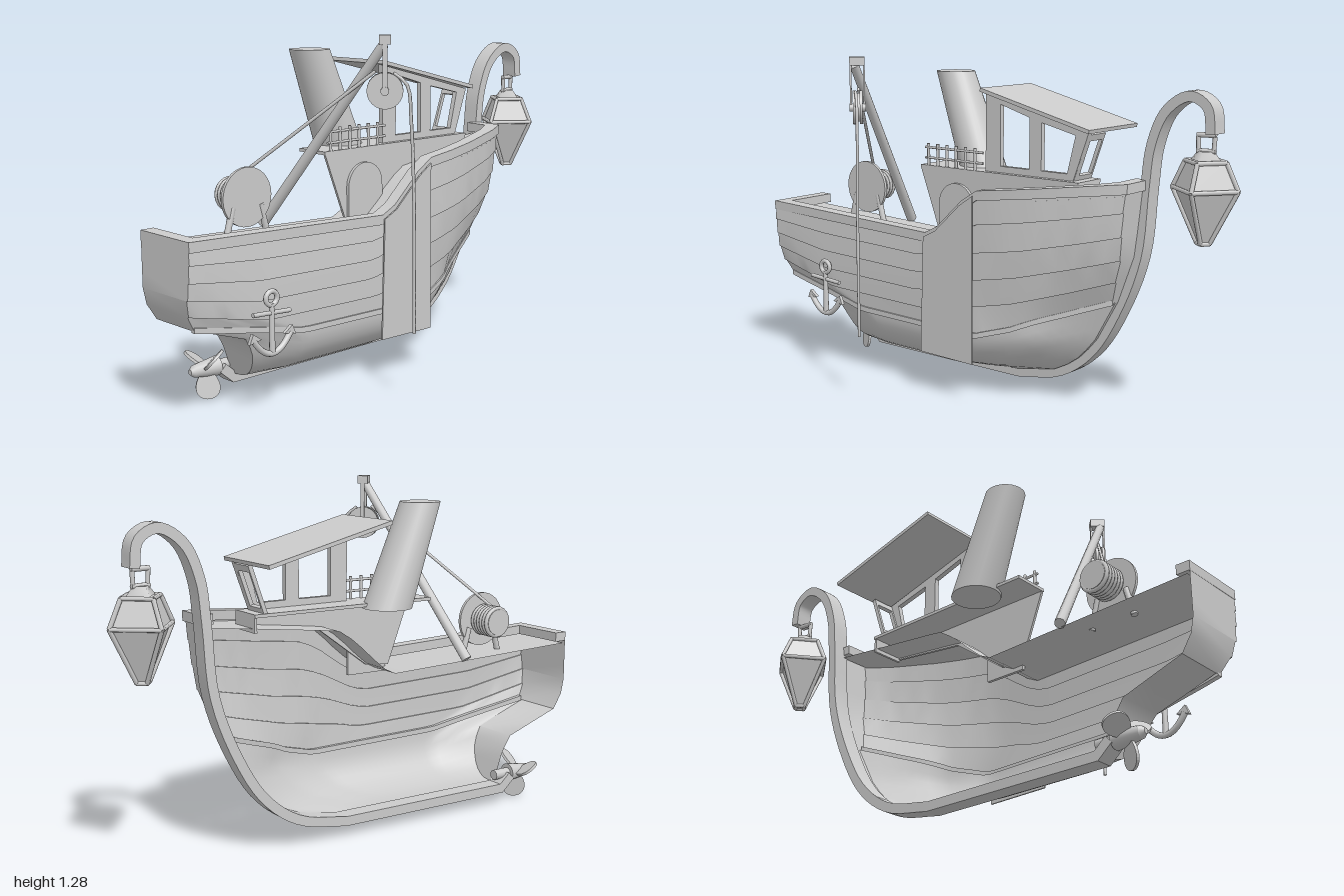
import * as THREE from 'three';
import { toCreasedNormals } from 'three/addons/utils/BufferGeometryUtils.js';

const MAT = new THREE.MeshStandardMaterial({ color: 0xcccccc, side: THREE.DoubleSide });
const V = (x, y, z) => new THREE.Vector3(x, y, z);
const MID = -0.195; // centre plane of the boat, where the half hull is cut open
const CUT = -0.18;
const lerp = THREE.MathUtils.lerp;

// Linear lookup in a short table of [key, value]
function at(table, k) {
  if (k <= table[0][0]) return table[0][1];
  for (let i = 1; i < table.length; i++) {
    const [k0, v0] = table[i - 1], [k1, v1] = table[i];
    if (k <= k1) return lerp(v0, v1, (k - k0) / (k1 - k0));
  }
  return table[table.length - 1][1];
}

// Hull lines
const sheer = [[-1, 0.655], [-0.15, 0.625], [-0.09, 0.655], [0.03, 0.765], [0.1, 0.81], [0.66, 0.875]];
const beam = [[-1, 0.085], [0.1, 0.09], [0.22, 0.08], [0.35, 0.055], [0.55, -0.005], [0.65, -0.055]];
const chineY = [[-1, 0.34], [-0.7, 0.26], [0.1, 0.25], [0.3, 0.29], [0.5, 0.36], [0.65, 0.42]];
const chineZ = [[-1, 0.03], [-0.7, 0.065], [0.1, 0.065], [0.35, 0.015], [0.55, -0.08], [0.65, -0.13]];
const stem = [[0.08, 0.1], [0.12, 0.3], [0.17, 0.38], [0.25, 0.46], [0.42, 0.555], [0.6, 0.62], [0.87, 0.65]];
const stern = [[0.08, -0.64], [0.2, -0.68], [0.26, -0.72], [0.34, -0.95], [0.39, -0.985], [0.45, -1]];

function mesh(parent, name, geo, pos) {
  const m = new THREE.Mesh(geo, MAT);
  m.name = name;
  if (pos) m.position.set(...pos);
  parent.add(m);
  return m;
}
function box(parent, name, size, pos) {
  return mesh(parent, name, new THREE.BoxGeometry(...size), pos);
}
function rod(parent, name, a, b, r, r2 = r, sides = 10) {
  const m = mesh(parent, name, new THREE.CylinderGeometry(r2, r, a.distanceTo(b), sides));
  m.position.copy(a).lerp(b, 0.5);
  m.quaternion.setFromUnitVectors(V(0, 1, 0), b.clone().sub(a).normalize());
  return m;
}
function plate(pts, depth, holes = []) {
  const toV = p => p.map(q => new THREE.Vector2(...q));
  const s = new THREE.Shape(toV(pts));
  holes.forEach(h => s.holes.push(new THREE.Path(toV(h))));
  return new THREE.ExtrudeGeometry(s, { depth, bevelEnabled: false });
}
function build(pos, idx, crease) {
  const g = new THREE.BufferGeometry();
  g.setAttribute('position', new THREE.Float32BufferAttribute(pos, 3));
  g.setIndex(idx);
  return toCreasedNormals(g, crease);
}
// Surface from a rule giving a point for each column and row
function grid(nu, nv, fn, crease = 0.5) {
  const pos = [], idx = [];
  for (let j = 0; j <= nv; j++) for (let i = 0; i <= nu; i++) pos.push(...fn(i, j));
  for (let j = 0; j < nv; j++) for (let i = 0; i < nu; i++) {
    const a = j * (nu + 1) + i, b = a + nu + 1;
    idx.push(a, b, b + 1, a, b + 1, a + 1);
  }
  return build(pos, idx, crease);
}
// Rectangular beam along a path, mitred, kept square to a fixed axis
function beamAlong(pts, axis, along, across) {
  const pos = [], idx = [], n = pts.length;
  const side = (a, b) => axis.clone().cross(b.clone().sub(a)).normalize();
  pts.forEach((p, i) => {
    const s0 = side(pts[Math.max(i - 1, 0)], pts[Math.max(i, 1)]);
    const s1 = side(pts[Math.min(i, n - 2)], pts[Math.min(i + 1, n - 1)]);
    const B = s0.clone().add(s1).normalize();
    const w = across / 2 / Math.max(B.dot(s0), 0.4);
    for (const [a, b] of [[1, 1], [-1, 1], [-1, -1], [1, -1]])
      pos.push(...p.clone().addScaledVector(axis, a * along / 2).addScaledVector(B, b * w));
  });
  for (let i = 0; i < n - 1; i++) for (let k = 0; k < 4; k++) {
    const a = i * 4 + k, b = i * 4 + (k + 1) % 4;
    idx.push(a, b + 4, b, a, a + 4, b + 4);
  }
  const e = n * 4 - 4;
  idx.push(0, 1, 2, 0, 2, 3, e, e + 2, e + 1, e, e + 3, e + 2);
  return build(pos, idx, 0.6);
}

function hull(g) {
  const N = 36;
  const col = i => { // first and last columns close the ends back to the centre plane
    const u = THREE.MathUtils.clamp((i - 1) / (N - 2), 0, 1);
    return { u, X: -1 + 1.65 * u, end: i === 0 || i === N };
  };
  const place = (c, y, z) => [lerp(at(stern, y), at(stem, y), c.u), y, c.end ? CUT : z];
  // Lapped strakes above the chine
  mesh(g, 'hullPlanking', grid(N, 9, (i, j) => {
    const c = col(i), t = Math.ceil(j / 2) / 5;
    const y = lerp(at(sheer, c.X) - 0.02, at(chineY, c.X), t);
    return place(c, y, lerp(at(beam, c.X), at(chineZ, c.X), t ** 2.4) + (j % 2) * 0.006);
  }, 0.4));
  // Rounded bottom
  const low = (c, a) => place(c, lerp(at(chineY, c.X), 0.08, Math.sin(a)),
    -0.16 + (at(chineZ, c.X) + 0.145) * Math.cos(a) ** 0.8);
  mesh(g, 'hullBottom', grid(N, 10, (i, j) => low(col(i), Math.min(j / 10 * Math.PI / 2, 1.5707)), 0.8));
  // Trim along the chine
  const trim = [];
  for (let i = 1; i < N; i++) {
    const c = col(i);
    trim.push(V(...place(c, at(chineY, c.X) + 0.005, at(chineZ, c.X) + 0.003)));
  }
  mesh(g, 'chineTrim', beamAlong(trim, V(0, 1, 0), 0.02, 0.02));
  // Rail around the top edge
  const xs = [-0.975, -0.5, -0.15, -0.09, 0.03, 0.1, 0.22, 0.35, 0.45, 0.55, 0.63];
  const rail = xs.map(x => V(x, at(sheer, x) - 0.018, at(beam, x) - 0.02));
  rail.unshift(V(-0.975, 0.637, CUT));
  rail.push(V(0.632, 0.855, CUT));
  mesh(g, 'rail', beamAlong(rail, V(0, 1, 0), 0.036, 0.052));
  // Deck following the sheer
  mesh(g, 'deck', grid(33, 1, (i, j) => {
    const x = -0.99 + 1.63 * i / 33;
    return [x, at(sheer, x) - 0.045, j ? CUT : at(beam, x)];
  }));
  // Side panel
  mesh(g, 'sidePanel', plate([[-0.165, 0.16], [0.09, 0.155], [0.09, 0.79], [0.03, 0.75], [-0.09, 0.64], [-0.15, 0.61]], 0.006), [0, 0, 0.1]);
  // Keel, stem and curled prow
  const curve = new THREE.CatmullRomCurve3([[0.1, 0.066], [0.3, 0.108], [0.44, 0.21], [0.55, 0.385], [0.63, 0.6],
    [0.655, 0.85], [0.675, 1.0], [0.73, 1.12], [0.82, 1.175], [0.89, 1.14], [0.905, 1.05]].map(p => V(...p, MID)));
  mesh(g, 'keelAndProw', beamAlong([V(-0.69, 0.11, MID), V(-0.64, 0.066, MID), V(-0.2, 0.066, MID),
    ...curve.getPoints(48)], V(0, 0, 1), 0.066, 0.036));
}

function superstructure(g) {
  mesh(g, 'houseSide', plate([[-0.3, 0.85], [-0.2, 0.59], [-0.1, 0.6], [0.12, 0.76], [0.45, 0.8], [0.45, 0.85]], 0.01), [0, 0, -0.06]);
  box(g, 'houseTop', [0.75, 0.012, 0.14], [0.075, 0.85, -0.12]);
  box(g, 'houseFront', [0.01, 0.06, 0.13], [0.445, 0.82, -0.12]);
  // Arched door
  const d = new THREE.Shape();
  d.moveTo(-0.085, -0.15); d.lineTo(0.085, -0.15); d.lineTo(0.085, 0);
  d.absarc(0, 0, 0.085, 0, Math.PI); d.closePath();
  mesh(g, 'door', new THREE.ExtrudeGeometry(d, { depth: 0.012, bevelEnabled: false }), [-0.11, 0.715, -0.05]);
  // Wheelhouse with windows and a sloping roof
  mesh(g, 'wheelhouseSide', plate([[0.01, 0.85], [0.41, 0.85], [0.475, 1.03], [0.01, 1.15]], 0.02, [
    [[0.08, 0.88], [0.215, 0.88], [0.215, 1.07], [0.08, 1.11]],
    [[0.27, 0.88], [0.385, 0.88], [0.42, 1.02], [0.27, 1.055]]]), [0, 0, -0.092]);
  const front = mesh(g, 'wheelhouseFront', plate([[0, 0], [0.11, 0], [0.11, 0.19], [0, 0.19]], 0.015,
    [[[0.025, 0.03], [0.1, 0.03], [0.1, 0.165], [0.025, 0.165]]]), [0.395, 0.85, -0.075]);
  front.rotation.set(0, Math.PI / 2, 0.34, 'ZYX');
  front.rotation.z = -0.34;
  const roof = box(g, 'roof', [0.508, 0.014, 0.31], [0.245, 1.1, -0.205]);
  roof.rotation.z = -Math.atan2(0.122, 0.49);
  // Raked funnel
  const f = new THREE.CylinderGeometry(0.075, 0.092, 0.38, 24).toNonIndexed();
  f.applyMatrix4(new THREE.Matrix4().makeShear(0, 0, -0.38, 0, 0, 0));
  mesh(g, 'funnel', toCreasedNormals(f, 0.6), [-0.17, 1.025, MID]);
  // Railing
  for (let i = 0; i < 6; i++) rod(g, 'railingPost', V(-0.265 + i * 0.047, 0.85, -0.058), V(-0.265 + i * 0.047, 0.94, -0.058), 0.006);
  for (const y of [0.885, 0.925]) rod(g, 'railingBar', V(-0.28, y, -0.058), V(0.01, y, -0.058), 0.005);
}

function craneAndWinch(g) {
  rod(g, 'boom', V(-0.48, 0.6, -0.19), V(-0.325, 1.255, 0.28), 0.02, 0.017);
  // Pulley hanging from the boom head
  const p = new THREE.Group();
  p.name = 'pulley';
  p.position.set(-0.315, 1.1, 0.275);
  p.rotation.y = -Math.PI / 4;
  for (const z of [-0.018, 0.018]) {
    mesh(p, 'pulleyFlange', new THREE.CylinderGeometry(0.062, 0.062, 0.01, 24), [0, 0, z * 0.7]).rotation.x = Math.PI / 2;
    box(p, 'pulleyStrap', [0.016, 0.19, 0.007], [0, 0.085, z * 1.35]);
  }
  mesh(p, 'pulleyCore', new THREE.CylinderGeometry(0.052, 0.052, 0.03, 20)).rotation.x = Math.PI / 2;
  rod(p, 'pulleyPin', V(0, 0, -0.03), V(0, 0, 0.03), 0.015);
  box(p, 'boomHead', [0.04, 0.03, 0.056], [0, 0.17, 0]);
  g.add(p);
  const hang = new THREE.CatmullRomCurve3([V(-0.3, 1.16, 0.3), V(-0.265, 1.12, 0.33), V(-0.255, 1.0, 0.34), V(-0.25, 0.7, 0.35), V(-0.25, 0.255, 0.352)]);
  mesh(g, 'hangingRope', new THREE.TubeGeometry(hang, 30, 0.006, 6));
  rod(g, 'winchRope', V(-0.64, 0.785, -0.14), V(-0.335, 1.165, 0.25), 0.006);
  // Winch drum with coils, end plate and feet
  rod(g, 'winchDrum', V(-0.63, 0.73, -0.195), V(-0.63, 0.73, -0.085), 0.05, 0.05, 20);
  for (let i = 0; i < 6; i++) mesh(g, 'ropeCoil', new THREE.TorusGeometry(0.053, 0.009, 6, 20), [-0.63, 0.73, -0.185 + i * 0.016]);
  rod(g, 'winchPlate', V(-0.63, 0.73, -0.092), V(-0.63, 0.73, -0.08), 0.105, 0.105, 32);
  for (const s of [-1, 1]) rod(g, 'winchFoot', V(-0.63 + s * 0.09, 0.59, -0.088), V(-0.63 + s * 0.06, 0.7, -0.088), 0.012);
}

function lantern(g) {
  const l = new THREE.Group();
  l.name = 'lantern';
  l.position.set(0.873, 0, MID);
  l.rotation.y = 0.13;
  const levels = [[0.075, 0.955], [0.12, 0.86], [0.024, 0.672]];
  for (let k = 0; k < 2; k++) {
    const [r0, y0] = levels[k], [r1, y1] = levels[k + 1];
    const c = new THREE.CylinderGeometry(r0 * 0.93, r1 * 0.93, y0 - y1, 4, 1).toNonIndexed();
    c.computeVertexNormals();
    mesh(l, 'lanternGlass', c, [0, (y0 + y1) / 2, 0]);
  }
  const corner = (k, i) => V(Math.sin(i * Math.PI / 2) * levels[k][0], levels[k][1], Math.cos(i * Math.PI / 2) * levels[k][0]);
  for (let i = 0; i < 4; i++) for (let k = 0; k < 3; k++) {
    rod(l, 'lanternFrame', corner(k, i), corner(k, i + 1), 0.008, 0.008, 6);
    if (k < 2) rod(l, 'lanternFrame', corner(k, i), corner(k + 1, i), 0.008, 0.008, 6);
  }
  mesh(l, 'lanternCap', new THREE.CylinderGeometry(0.03, 0.055, 0.03, 4), [0, 0.975, 0]);
  // Shackle hooked on the prow tip
  for (const s of [-1, 1]) rod(l, 'shackleSide', V(s * 0.027, 0.985, 0), V(s * 0.03, 1.04, 0), 0.008);
  for (const y of [0.99, 1.045]) rod(l, 'shackleBar', V(-0.034, y, 0), V(0.034, y, 0), 0.009);
  g.add(l);
}

function anchor(g) {
  const a = new THREE.Group();
  a.name = 'anchor';
  a.position.set(-0.685, 0, 0.108);
  mesh(a, 'anchorRing', new THREE.TorusGeometry(0.024, 0.009, 8, 20), [0, 0.418, 0]);
  rod(a, 'anchorShank', V(0, 0.4, 0), V(0, 0.225, 0), 0.009, 0.011);
  rod(a, 'anchorStock', V(-0.08, 0.372, 0), V(0.08, 0.362, 0), 0.008);
  const arms = new THREE.QuadraticBezierCurve3(V(-0.08, 0.285, 0), V(0, 0.165, 0), V(0.08, 0.285, 0));
  mesh(a, 'anchorArms', new THREE.TubeGeometry(arms, 16, 0.011, 8));
  for (const s of [-1, 1]) mesh(a, 'anchorFluke', plate([[s * 0.1, 0.275], [s * 0.085, 0.31], [s * 0.05, 0.285]], 0.014), [0, 0, -0.007]);
  g.add(a);
}

function propeller(g) {
  const p = new THREE.Group();
  p.name = 'propeller';
  p.position.set(-0.745, 0.115, MID);
  rod(p, 'hub', V(-0.05, 0, 0), V(0.05, 0, 0), 0.022, 0.036, 16);
  rod(p, 'hubCap', V(-0.066, 0, 0), V(-0.05, 0, 0), 0.01, 0.022, 16);
  rod(p, 'shaft', V(0.05, 0, 0), V(0.12, 0, 0), 0.02);
  const s = new THREE.Shape();
  s.moveTo(-0.015, 0.01);
  s.bezierCurveTo(-0.065, 0.06, -0.045, 0.11, 0, 0.11);
  s.bezierCurveTo(0.045, 0.11, 0.06, 0.06, 0.015, 0.01);
  for (let i = 0; i < 3; i++) {
    const arm = new THREE.Group();
    arm.rotation.x = Math.PI - 0.17 + i * Math.PI * 2 / 3;
    mesh(arm, 'blade', new THREE.ExtrudeGeometry(s, { depth: 0.01, bevelEnabled: false }), [0, 0, -0.005]).rotation.y = 0.5;
    p.add(arm);
  }
  g.add(p);
}

export function createModel() {
  const g = new THREE.Group();
  g.name = 'halfBoat';
  [hull, superstructure, craneAndWinch, lantern, anchor, propeller].forEach(part => part(g));
  return g;
}
